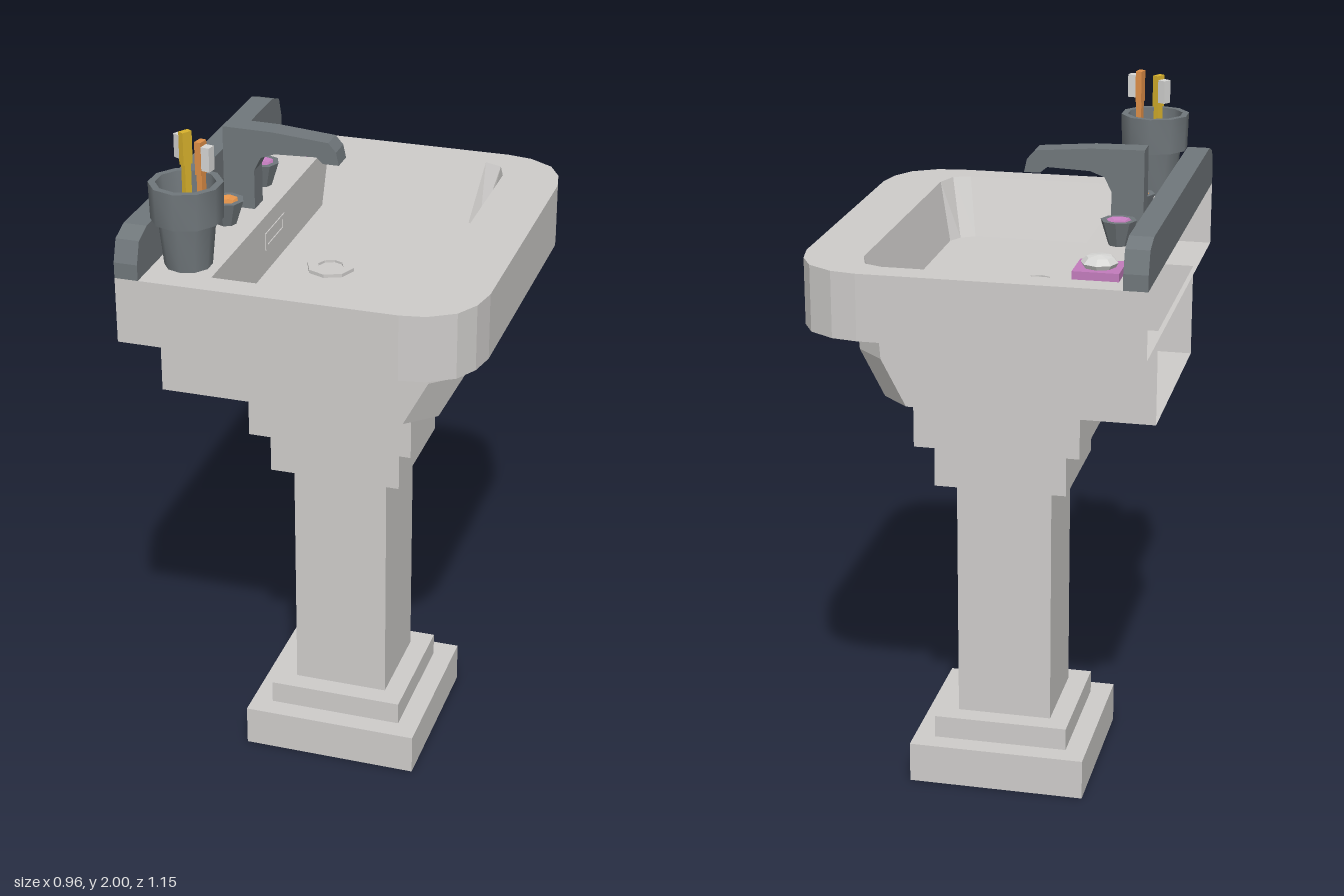
import * as THREE from 'three';
import { toCreasedNormals } from 'three/addons/utils/BufferGeometryUtils.js';

const mat = (name, color, side = THREE.FrontSide) => {
  const m = new THREE.MeshStandardMaterial({ color, side });
  m.name = name;
  return m;
};

// Faceted normals for low-poly parts
const flat = (geo) => {
  const g = geo.index ? geo.toNonIndexed() : geo;
  g.computeVertexNormals();
  return g;
};

const vec = (pts) => pts.map(([a, b]) => new THREE.Vector2(a, b));

// Half outline [x, z] with negative z, completed by its mirror across z = 0
const mirrored = (half) => [...half, ...half.slice().reverse().map(([x, z]) => [x, -z])];

// Wall through stacked [x, z] rings; rising levels face outward, falling ones inward
function loft(levels, closed) {
  const pos = [];
  for (let k = 0; k < levels.length - 1; k++) {
    const lo = levels[k], hi = levels[k + 1], n = lo.ring.length;
    for (let i = 0; i < (closed ? n : n - 1); i++) {
      const j = (i + 1) % n;
      const pt = (l, q) => [l.ring[q][0], l.y, l.ring[q][1]];
      const a = pt(lo, i), b = pt(lo, j), c = pt(hi, j), d = pt(hi, i);
      pos.push(...a, ...c, ...b, ...a, ...d, ...c);
    }
  }
  const g = new THREE.BufferGeometry();
  g.setAttribute('position', new THREE.Float32BufferAttribute(pos, 3));
  return flat(g);
}

// Horizontal plate facing up or down (outlines are symmetric in z)
function plate(ring, y, up, hole) {
  const s = new THREE.Shape(vec(ring));
  if (hole) s.holes.push(new THREE.Path(vec(hole)));
  return new THREE.ShapeGeometry(s).rotateX(up ? -Math.PI / 2 : Math.PI / 2).translate(0, y, 0);
}

const turned = (pts, sides, phase = 0, scale = 1) =>
  new THREE.LatheGeometry(vec(pts.map(([r, y]) => [r * scale, y])), sides, phase);
const lathe = (...args) => flat(turned(...args));

const extrude = (shape, depth) => new THREE.ExtrudeGeometry(shape, { depth, bevelEnabled: false });

export function createModel() {
  const root = new THREE.Group();
  root.name = 'pedestalSink';

  // The ceramic shell is open behind and below, so both its sides show
  const ceramic = mat('ceramic grey', 0xcecccA, THREE.DoubleSide);
  const metal = mat('dark metal', 0x70777b);
  const purple = mat('purple', 0xc27cbc);
  const orange = mat('orange', 0xe09048);
  const yellow = mat('yellow', 0xd9b22c);
  const white = mat('off white', 0xd8d8d6);

  const add = (name, geo, material, x = 0, y = 0, z = 0, parent = root) => {
    const m = new THREE.Mesh(geo, material);
    m.name = name;
    m.position.set(x, y, z);
    parent.add(m);
    return m;
  };

  // Stepped square pedestal, hollow underneath
  add('pedestal', lathe([
    [0.258, 0], [0.258, 0.12], [0.197, 0.12], [0.197, 0.187], [0.138, 0.187], [0.138, 0.916],
    [0.19, 0.916], [0.19, 1.048], [0.237, 1.048], [0.237, 1.195],
  ], 4, Math.PI / 4, Math.SQRT2), ceramic, -0.006);

  // Tapered underside of the basin, open at the wall side
  const under = (front) => mirrored([[-0.467, -0.317], [front - 0.08, -0.317], [front, -0.243]]);
  add('basinUnderside', loft([
    { y: 1.195, ring: under(0.31) }, { y: 1.328, ring: under(0.38) }, { y: 1.462, ring: under(0.39) },
  ], false), ceramic);
  add('basinUndersideFloor', plate(under(0.31), 1.195, false), ceramic);

  // Basin slab with rounded front corners, open at the wall side
  const outline = mirrored([[-0.48, -0.577], [0.29, -0.577], [0.36, -0.565], [0.43, -0.522],
    [0.465, -0.46], [0.48, -0.385]]);
  const rim = mirrored([[-0.24, -0.5], [0.24, -0.5], [0.29, -0.48], [0.312, -0.415]]);
  const floor = mirrored([[-0.24, -0.43], [0.21, -0.43], [0.25, -0.405], [0.272, -0.365]]);
  add('basinSides', loft([{ y: 1.462, ring: outline }, { y: 1.646, ring: outline }], false), ceramic);
  add('basinTop', plate(outline, 1.646, true, rim), ceramic);
  add('basinBottom', plate(outline, 1.462, false, under(0.39)), ceramic);
  add('bowlWalls', loft([{ y: 1.646, ring: rim }, { y: 1.48, ring: floor }], true), ceramic);
  add('bowlFloor', plate(floor, 1.48, true), ceramic);

  // Drain ring and overflow slot frame
  add('drain', lathe([[0.068, 1.48], [0.068, 1.49], [0.037, 1.49], [0.037, 1.483], [0, 1.483]], 8),
    ceramic, -0.075);
  const slot = new THREE.Shape(vec([[-0.08, -0.025], [0.08, -0.025], [0.08, 0.025], [-0.08, 0.025]]));
  slot.holes.push(new THREE.Path(vec([[-0.065, -0.013], [0.065, -0.013], [0.065, 0.013], [-0.065, 0.013]])));
  add('overflowFrame', extrude(slot, 0.003).rotateY(Math.PI / 2), ceramic, -0.24, 1.571, 0);

  // Splashback with softened ends
  const splash = new THREE.Shape(vec(
    mirrored([[1.646, -0.577], [1.69, -0.577], [1.75, -0.557], [1.77, -0.5]]).map(([y, z]) => [z, y])));
  add('splashback', extrude(splash, 0.065).rotateY(Math.PI / 2), metal, -0.48);

  // Faucet, side profile extruded across
  const spout = new THREE.Shape(vec([[-0.375, 1.646], [-0.285, 1.646], [-0.285, 1.76], [-0.265, 1.8],
    [-0.225, 1.815], [-0.105, 1.82], [-0.085, 1.803], [-0.04, 1.803], [-0.048, 1.84], [-0.07, 1.865],
    [-0.23, 1.878], [-0.375, 1.88]]));
  add('faucet', extrude(spout, 0.066), metal, 0, 0, -0.034);

  // Two taps with coloured dished tops
  for (const [side, z, cap] of [['back', -0.15, purple], ['front', 0.145, orange]]) {
    add(side + 'Tap', lathe([[0.028, 1.646], [0.05, 1.715], [0.034, 1.715]], 8), metal, -0.327, 0, z);
    add(side + 'TapCap', lathe([[0.034, 1.715], [0.02, 1.707], [0, 1.707]], 8), cap, -0.327, 0, z);
  }

  // Soap on its dish
  add('soapDish', new THREE.BoxGeometry(0.124, 0.022, 0.12), purple, -0.33, 1.657, -0.445);
  add('soap', lathe([[0.043, 1.668], [0.05, 1.68], [0.035, 1.695], [0, 1.7]], 8), white, -0.33, 0, -0.445);

  // Cup with an open top, smooth around and creased at its rims
  add('cup', toCreasedNormals(turned([[0, 1.648], [0.064, 1.648], [0.077, 1.778], [0.096, 1.778],
    [0.099, 1.88], [0.08, 1.88], [0.07, 1.75], [0, 1.75]], 10), Math.PI / 3.5), metal, -0.327, 0, 0.437);

  // Toothbrushes standing in the cup
  for (const [name, body, x, z, turn] of [
    ['yellow', yellow, -0.342, 0.392, 2.6], ['orange', orange, -0.28, 0.445, -0.2]]) {
    const brush = new THREE.Group();
    brush.name = name + 'Toothbrush';
    brush.position.set(x, 0, z);
    brush.rotation.y = turn;
    root.add(brush);
    add('handle', new THREE.BoxGeometry(0.016, 0.17, 0.02), body, 0, 1.835, 0, brush);
    add('head', new THREE.BoxGeometry(0.018, 0.09, 0.03), body, 0, 1.955, 0, brush);
    add('bristles', new THREE.BoxGeometry(0.024, 0.065, 0.026), white, 0.021, 1.956, 0, brush);
  }

  return root;
}
